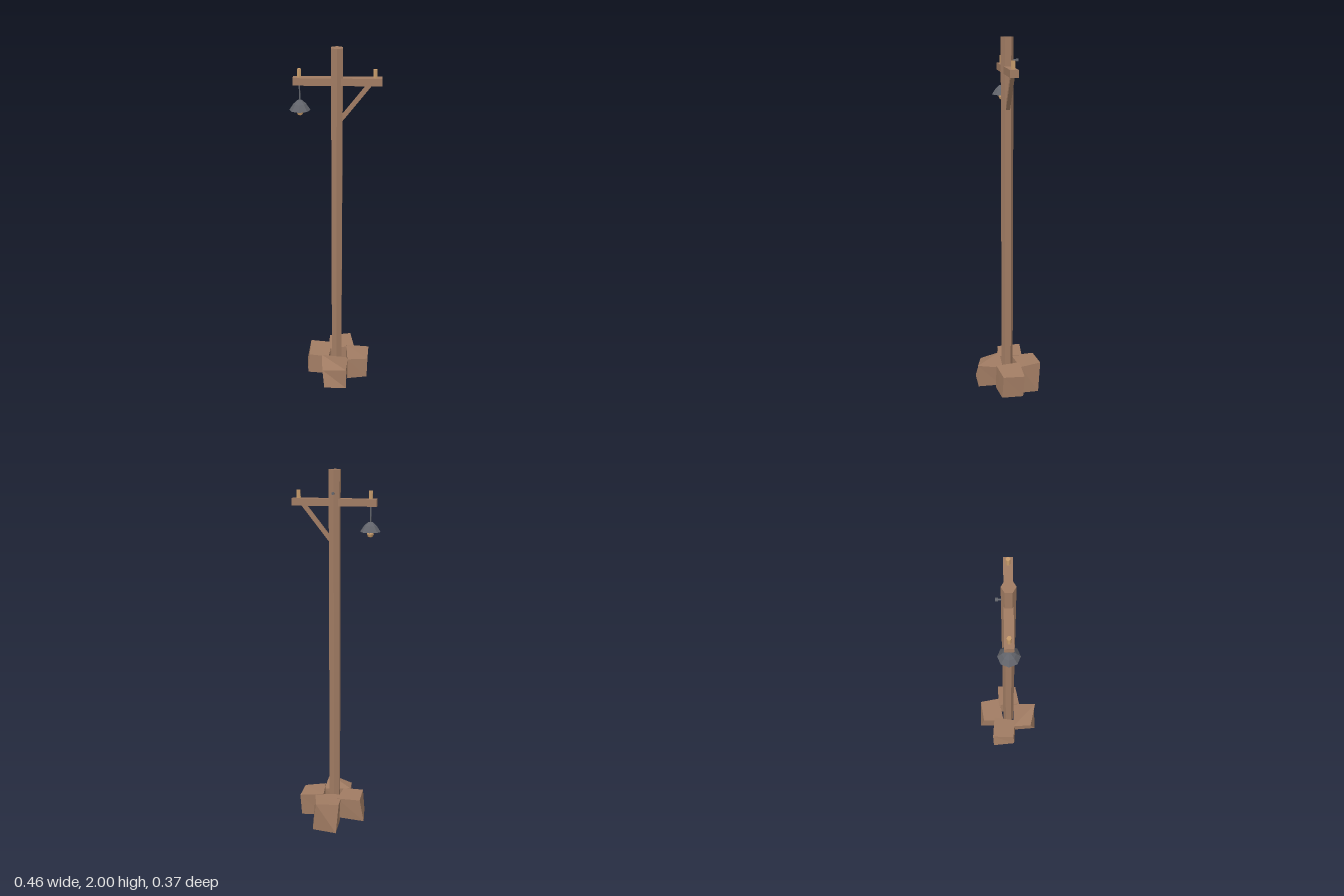
import * as THREE from 'three';

const flat = (name, color) => {
  const m = new THREE.MeshStandardMaterial({ color });
  m.name = name;
  m.flatShading = true;
  return m;
};

export function createModel() {
  const root = new THREE.Group();
  root.name = 'lampPost';
  const wood = flat('wood', 0xa17c63);
  const tan = flat('paleWood', 0xc79c6c);
  const metal = flat('metal', 0x62646b);
  metal.side = THREE.DoubleSide;

  const add = (name, geometry, material, x = 0, y = 0, z = 0) => {
    const mesh = new THREE.Mesh(geometry, material);
    mesh.name = name;
    mesh.position.set(x, y, z);
    root.add(mesh);
    return mesh;
  };
  const hex = (r, h) => new THREE.CylinderGeometry(r, r, h, 6);

  // Rough block: four top corners, then four bottom corners,
  // both in the order back-left, back-right, front-right, front-left.
  const rock = (name, c) => {
    const quads = [[0, 3, 2, 1], [4, 5, 6, 7], [3, 7, 6, 2], [1, 5, 4, 0], [2, 6, 5, 1], [0, 4, 7, 3]];
    const pos = [];
    for (const [a, b, d, e] of quads) for (const i of [a, b, d, a, d, e]) pos.push(...c[i]);
    const g = new THREE.BufferGeometry();
    g.setAttribute('position', new THREE.Float32BufferAttribute(pos, 3));
    g.computeVertexNormals();
    add(name, g, wood);
  };
  rock('frontRock', [
    [-0.08, 0.17, 0.037], [0.077, 0.155, 0.038], [0.068, 0.175, 0.182], [-0.072, 0.145, 0.15],
    [-0.07, 0.04, 0.04], [0.07, 0.04, 0.05], [0.068, 0.04, 0.18], [-0.06, 0.04, 0.182]]);
  rock('rightRock', [
    [-0.153, 0.175, -0.1], [-0.02, 0.17, -0.09], [-0.04, 0.165, 0.045], [-0.155, 0.17, 0.035],
    [-0.177, 0.04, -0.097], [-0.03, 0.04, -0.08], [-0.045, 0.04, 0.05], [-0.165, 0.04, 0.04]]);
  rock('leftRock', [
    [0.065, 0.175, -0.06], [0.202, 0.16, -0.067], [0.195, 0.16, 0.052], [0.075, 0.17, 0.075],
    [0.06, 0.03, -0.05], [0.195, 0.03, -0.06], [0.192, 0.03, 0.06], [0.075, 0.03, 0.08]]);
  rock('backRock', [
    [-0.04, 0.17, -0.16], [0.088, 0.175, -0.18], [0.112, 0.17, -0.06], [-0.04, 0.165, -0.03],
    [-0.028, 0, -0.185], [0.11, 0, -0.165], [0.112, 0, -0.05], [-0.03, 0, -0.04]]);

  // Post and crossbeam
  add('post', hex(0.033, 1.95), wood, 0.008, 1.025, 0.002);
  add('crossbeam', new THREE.BoxGeometry(0.44, 0.037, 0.043), wood, 0.01, 1.837, 0.002);

  // Slanted brace between post and beam
  const from = new THREE.Vector2(0.022, 1.635), to = new THREE.Vector2(0.172, 1.825);
  const dir = to.clone().sub(from);
  const brace = add('brace', new THREE.BoxGeometry(0.021, dir.length(), 0.021), wood,
    (from.x + to.x) / 2, (from.y + to.y) / 2, 0.002);
  brace.rotation.z = dir.angle() - Math.PI / 2;

  // Pegs on both ends of the beam
  for (const x of [-0.178, 0.196]) add('peg', hex(0.011, 0.044), tan, x, 1.875, 0.002);

  // Metal pin behind the post
  add('pin', hex(0.005, 0.04), metal, 0.008, 1.884, -0.036).rotation.x = Math.PI / 2;
  add('pinHead', hex(0.008, 0.012), metal, 0.008, 1.884, -0.05).rotation.x = Math.PI / 2;

  // Hanging lamp
  const lampX = -0.178, lampZ = 0.002;
  add('lampCord', hex(0.004, 0.1), metal, lampX, 1.78, lampZ);
  const profile = [[0.053, 1.69], [0.032, 1.722], [0.014, 1.738], [0, 1.741]]
    .map(([r, y]) => new THREE.Vector2(r, y));
  add('lampShade', new THREE.LatheGeometry(profile, 8), metal, lampX, 0, lampZ);
  add('lampSocket', hex(0.012, 0.04), metal, lampX, 1.71, lampZ);
  add('lampBulb', new THREE.SphereGeometry(0.018, 6, 4), tan, lampX, 1.678, lampZ);

  return root;
}
